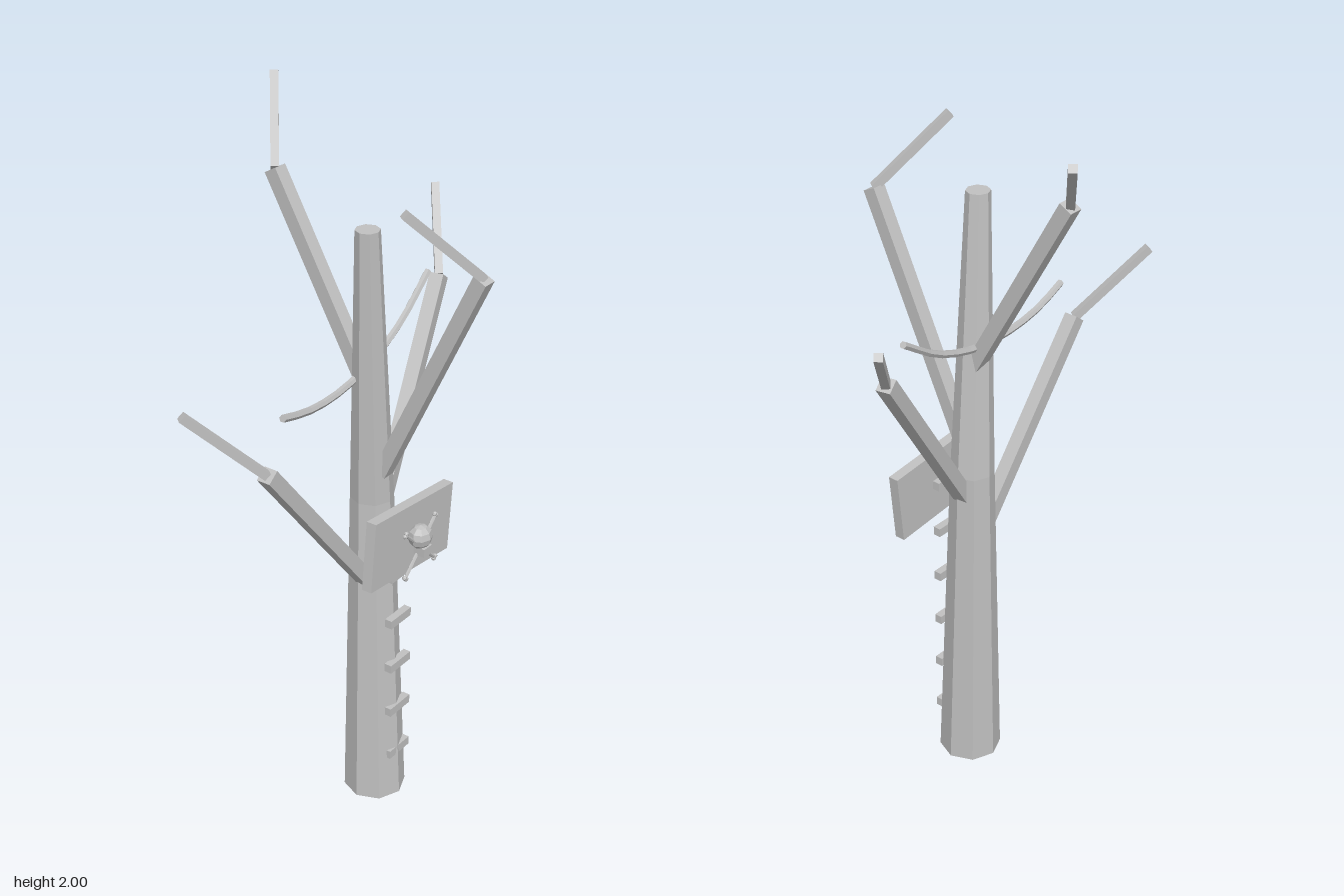
import * as THREE from 'three';

export function createModel() {
  const model = new THREE.Group();
  model.name = 'lookoutTree';
  const grey = new THREE.MeshStandardMaterial({ color: 0xc0c0c0, flatShading: true });
  grey.name = 'plainGrey';

  const add = (name, geometry, parent = model) => {
    const mesh = new THREE.Mesh(geometry, grey);
    mesh.name = name;
    parent.add(mesh);
    return mesh;
  };

  // Square beam running from point a to point b
  const beam = (name, a, b, width) => {
    const from = new THREE.Vector3(...a), to = new THREE.Vector3(...b);
    const mesh = add(name, new THREE.BoxGeometry(width, width, from.distanceTo(to)));
    mesh.position.copy(from).lerp(to, 0.5);
    mesh.lookAt(to);
  };

  // Trunk: eight-sided, bent and tapered through three rings [x, y, z, radius]
  const rings = [[-0.034, 1.74, 0.067, 0.033], [0.02, 0.95, 0.045, 0.06], [0.013, 0, 0.065, 0.0875]];
  const trunk = new THREE.CylinderGeometry(1, 1, 2, 8, 2);
  const pos = trunk.attributes.position;
  for (let i = 0; i < pos.count; i++) {
    const [x, y, z, r] = rings[1 - Math.round(pos.getY(i))];
    pos.setXYZ(i, x + pos.getX(i) * r, y, z + pos.getZ(i) * r);
  }
  add('trunk', trunk);

  // Branches, each with a thinner twig: [name, root, elbow, tip]
  const branches = [
    ['right', [0.0, 0.68, 0.06], [-0.435, 1.225, 0.06], [-0.595, 1.415, -0.068]],
    ['left', [0.06, 0.89, 0.045], [0.435, 1.42, -0.038], [0.59, 1.605, -0.163]],
    ['front', [0.014, 1.04, 0.085], [0.014, 1.675, 0.38], [-0.145, 1.863, 0.255]],
    ['back', [0.014, 1.24, 0.055], [0.014, 1.808, -0.262], [0.173, 1.992, -0.388]],
  ];
  for (const [side, root, elbow, tip] of branches) {
    beam(side + 'Branch', root, elbow, 0.04);
    beam(side + 'Twig', elbow, tip, 0.022);
  }

  // Sagging vine through the trunk
  const sag = new THREE.CatmullRomCurve3([
    [-0.37, 1.355, 0.06], [-0.26, 1.324, 0.05], [-0.13, 1.313, 0.04],
    [0.03, 1.33, 0.025], [0.19, 1.385, 0.01], [0.335, 1.477, -0.005],
  ].map((p) => new THREE.Vector3(...p)));
  add('vine', new THREE.TubeGeometry(sag, 12, 0.01, 6));
  for (const t of [0, 1]) {
    const cap = add('vineEnd', new THREE.CircleGeometry(0.01, 6));
    const p = sag.getPoint(t);
    cap.position.copy(p);
    cap.lookAt(p.clone().addScaledVector(sag.getTangent(t), t ? 1 : -1));
  }

  // Ladder rungs
  for (let i = 0; i < 6; i++) {
    add('rung', new THREE.BoxGeometry(0.09, 0.025, 0.022)).position.set(0.025, 0.145 + i * 0.148, 0.132);
  }

  // Tilted sign board
  const board = add('signBoard', new THREE.BoxGeometry(0.352, 0.2, 0.03));
  board.position.set(0.013, 0.873, 0.17);
  board.rotation.z = -0.1;

  // Skull with jaw and crossed bones
  const emblem = new THREE.Group();
  emblem.name = 'skullAndBones';
  emblem.position.set(0.013, 0.853, 0.21);
  model.add(emblem);
  const skull = add('skull', new THREE.SphereGeometry(0.036, 8, 6), emblem);
  skull.position.set(0, 0.032, 0);
  skull.scale.set(1, 0.95, 0.9);
  add('jaw', new THREE.BoxGeometry(0.036, 0.025, 0.035), emblem).position.set(0, -0.006, 0.008);
  for (const s of [-1, 1]) {
    const bone = new THREE.Group();
    bone.name = 'bone';
    bone.rotation.z = s * Math.PI / 4;
    emblem.add(bone);
    add('shaft', new THREE.CylinderGeometry(0.005, 0.005, 0.19, 6), bone);
    for (const e of [-1, 1]) for (const k of [-1, 1]) {
      add('knob', new THREE.SphereGeometry(0.007, 6, 4), bone).position.set(k * 0.004, e * 0.095, 0);
    }
  }
  return model;
}
